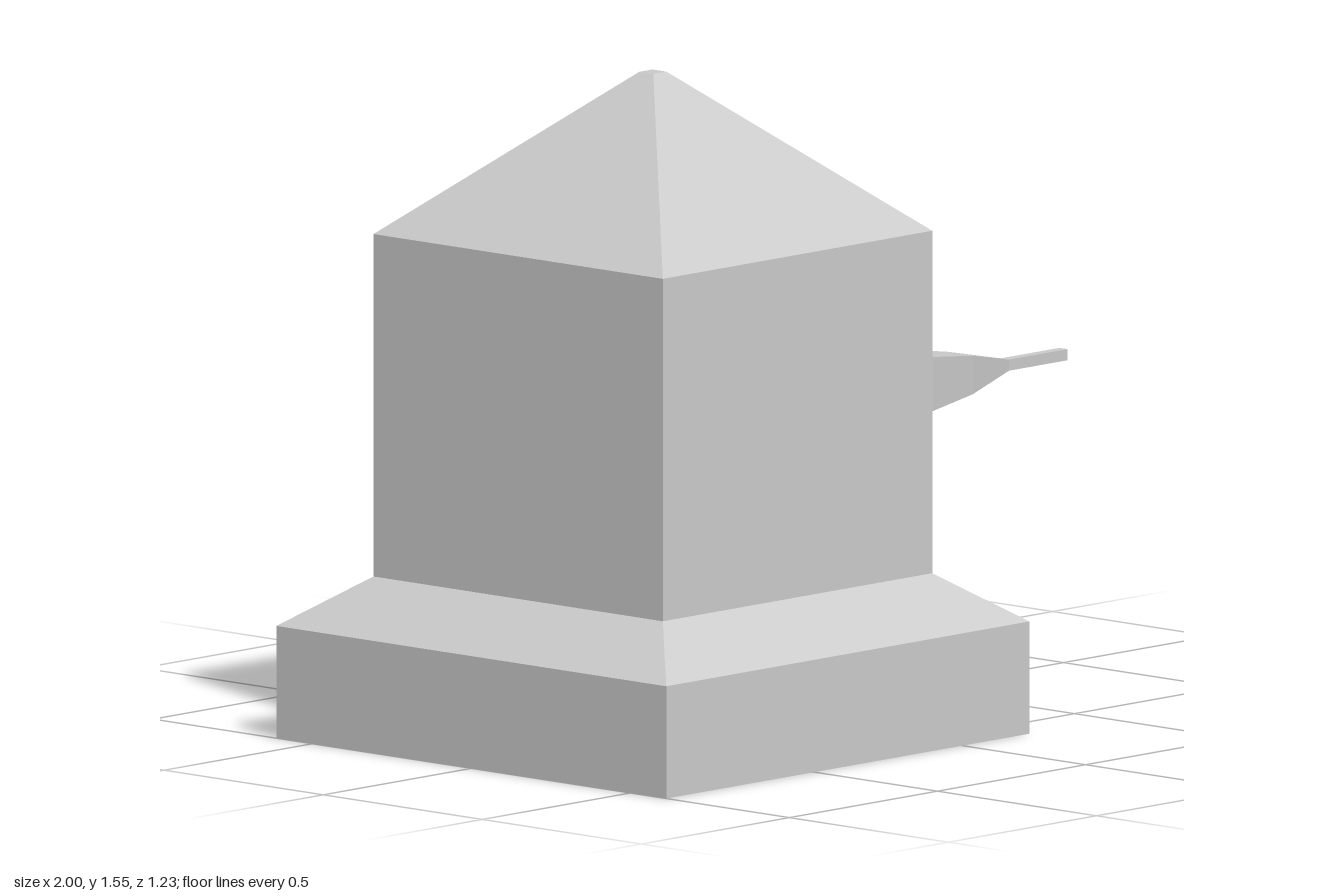
import * as THREE from 'three';

const material = new THREE.MeshStandardMaterial({ color: 0xcccccc, flatShading: true });

// Square-section solid from [half width, height] pairs, listed bottom to top
function squareLathe(name, profile) {
  const points = profile.map(([half, y]) => new THREE.Vector2(half * Math.SQRT2, y));
  const mesh = new THREE.Mesh(new THREE.LatheGeometry(points, 4, Math.PI / 4), material);
  mesh.name = name;
  return mesh;
}

export function createModel() {
  const model = new THREE.Group();
  model.name = 'tower';

  // Main block: plinth with sloped shoulder, square body, pyramid roof with a tiny flat tip
  const tower = new THREE.Group();
  tower.name = 'towerBlock';
  tower.position.x = -0.387;
  tower.add(
    squareLathe('plinth', [[0, 0], [0.613, 0], [0.613, 0.262]]),
    squareLathe('plinthShoulder', [[0.613, 0.262], [0.455, 0.376]]),
    squareLathe('body', [[0.455, 0.376], [0.455, 1.175]]),
    squareLathe('roof', [[0.455, 1.175], [0.022, 1.55], [0, 1.55]])
  );
  model.add(tower);

  // Tapered square spike pointing to +x from the body's side
  const spike = squareLathe('sideSpike', [
    [0.113, 0], [0.045, 0.577], [0.013, 0.734], [0.013, 0.932], [0, 0.932]
  ]);
  spike.rotation.z = -Math.PI / 2;
  spike.position.set(0.068, 0.72, 0);
  model.add(spike);

  return model;
}
